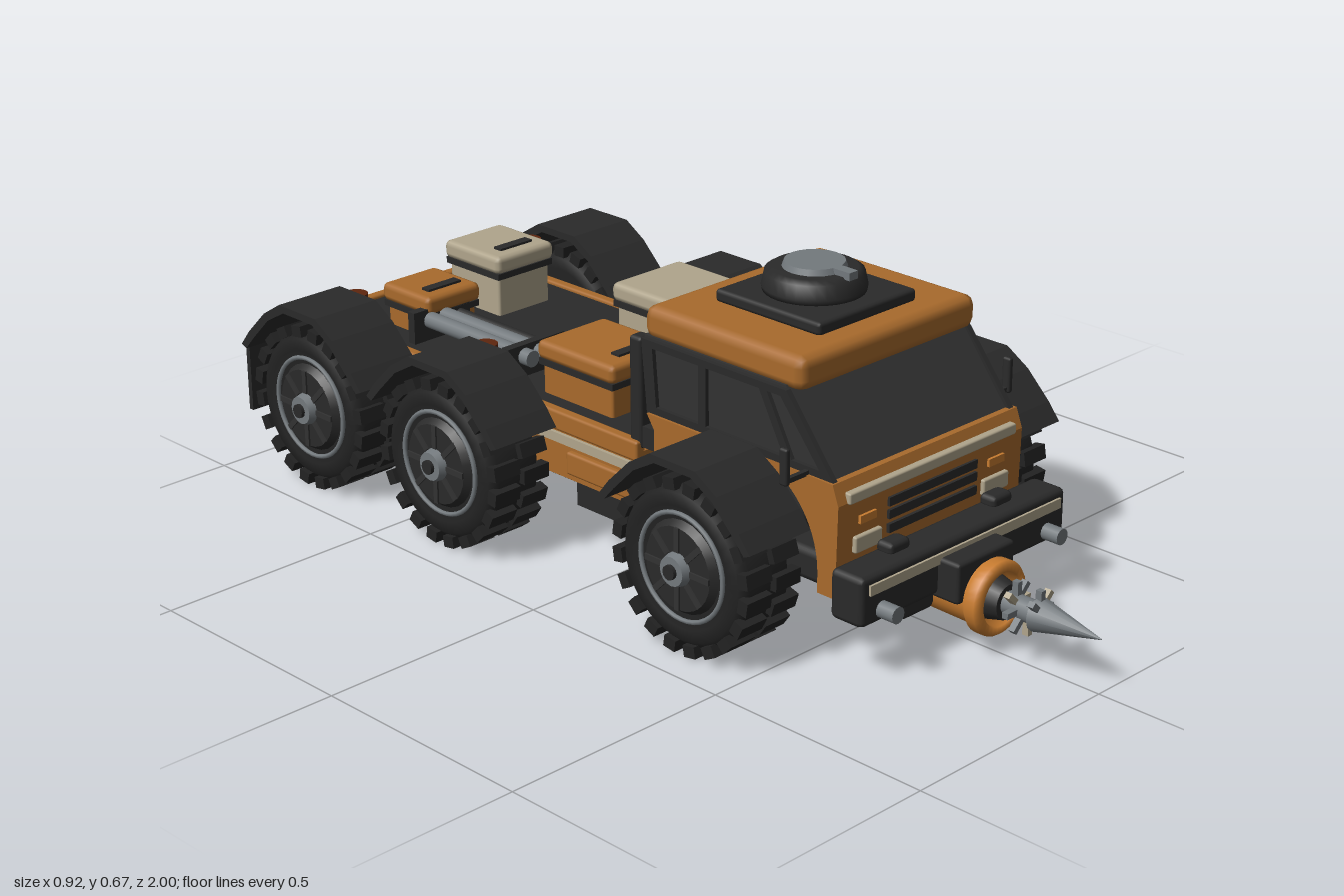
import * as THREE from 'three';
import { RoundedBoxGeometry } from 'three/addons/geometries/RoundedBoxGeometry.js';

const mat = (name, color) => {
  const m = new THREE.MeshStandardMaterial({ color });
  m.name = name;
  return m;
};

export function createModel() {
  const M = {
    orange: mat('ochre paint', 0xa86a2c),
    bright: mat('bright orange', 0xc87c30),
    black: mat('black trim', 0x2a2a2a),
    tyre: mat('tyre rubber', 0x222222),
    glass: mat('dark glass', 0x323232),
    cream: mat('cream', 0xb0a58c),
    steel: mat('steel', 0x73797d),
    brown: mat('rust brown', 0x5e260e),
    red: mat('tail light red', 0xb02a1e),
  };
  const model = new THREE.Group();
  model.name = 'expeditionTruck';

  const add = (name, geo, m, x = 0, y = 0, z = 0, parent = model) => {
    const mesh = new THREE.Mesh(geo, m);
    mesh.name = name;
    mesh.position.set(x, y, z);
    parent.add(mesh);
    return mesh;
  };
  // Box given by its limits, with optional softened edges
  const box = (name, m, [x0, x1], [y0, y1], [z0, z1], r = 0, parent = model) => {
    const s = [x1 - x0, y1 - y0, z1 - z0];
    const geo = r ? new RoundedBoxGeometry(...s, 1, r) : new THREE.BoxGeometry(...s);
    return add(name, geo, m, (x0 + x1) / 2, (y0 + y1) / 2, (z0 + z1) / 2, parent);
  };
  // The same box on both sides
  const pair = (name, m, xs, ys, zs, r) => {
    box(name + 'Left', m, xs, ys, zs, r);
    box(name + 'Right', m, [-xs[1], -xs[0]], ys, zs, r);
  };
  // Cylinder along z
  const rod = (r0, r1, len, seg = 16) => new THREE.CylinderGeometry(r1, r0, len, seg).rotateX(Math.PI / 2);
  // Side outline in (z, y), extruded across the width
  const across = (shape, w) => new THREE.ExtrudeGeometry(shape, { depth: w, bevelEnabled: false, curveSegments: 20 })
    .rotateY(-Math.PI / 2).translate(w / 2, 0, 0);
  const outline = (pts) => new THREE.Shape(pts.map(([z, y]) => new THREE.Vector2(z, y)));

  // Chassis
  box('chassis', M.black, [-0.17, 0.17], [0.09, 0.16], [-0.93, 0.59], 0.015);
  pair('sill', M.black, [0.17, 0.25], [0.1, 0.15], [-0.14, 0.14]);

  // Cab body with open wheel arches
  const body = new THREE.Shape();
  body.moveTo(0.1, 0.14);
  body.lineTo(0.145, 0.14);
  body.lineTo(0.145, 0.18);
  body.absarc(0.34, 0.18, 0.195, Math.PI, 0, true);
  body.lineTo(0.535, 0.14);
  body.lineTo(0.58, 0.14);
  body.lineTo(0.585, 0.33);
  body.lineTo(0.57, 0.37);
  body.lineTo(0.08, 0.37);
  body.lineTo(0.1, 0.34);
  add('cabBody', across(body, 0.53), M.orange);
  add('cabWindows', across(outline([[0.08, 0.365], [0.56, 0.365], [0.435, 0.525], [0.06, 0.525]]), 0.5), M.glass);
  // Window frame on each side
  const frame = outline([[0.075, 0.365], [0.57, 0.365], [0.445, 0.52], [0.06, 0.52]]);
  for (const pane of [
    [[0.1, 0.385], [0.09, 0.505], [0.215, 0.505], [0.215, 0.385]],
    [[0.235, 0.385], [0.235, 0.505], [0.375, 0.505], [0.44, 0.385]],
    [[0.46, 0.385], [0.395, 0.505], [0.43, 0.505], [0.53, 0.385]],
  ]) frame.holes.push(outline(pane));
  for (const s of [-1, 1]) add('windowFrame', across(frame, 0.012), M.black, s * 0.253);
  box('rearWindowPost', M.black, [-0.01, 0.01], [0.37, 0.52], [0.055, 0.08]);

  // Roof and its turret
  box('roof', M.orange, [-0.25, 0.25], [0.515, 0.585], [0.055, 0.475], 0.022);
  box('turretPlate', M.black, [-0.138, 0.138], [0.583, 0.61], [0.14, 0.415], 0.008);
  const lathe = (pts) => new THREE.LatheGeometry(pts.map(([r, y]) => new THREE.Vector2(r, y)), 32);
  add('turretDrum', lathe([[0, 0], [0.102, 0], [0.104, 0.01], [0.098, 0.038], [0.085, 0.046], [0, 0.046]]), M.black, 0, 0.61, 0.274);
  add('turretCap', new THREE.CylinderGeometry(0.06, 0.065, 0.014, 24), M.steel, 0, 0.661, 0.274);
  box('turretLatch', M.steel, [-0.012, 0.012], [0.652, 0.668], [0.32, 0.375]);

  // Front face details
  box('hoodStrip', M.cream, [-0.24, 0.24], [0.327, 0.35], [0.57, 0.592], 0.004);
  for (const y of [0.298, 0.272, 0.243]) box('grilleSlat', M.black, [-0.127, 0.127], [y - 0.009, y + 0.009], [0.57, 0.59]);
  pair('indicator', M.bright, [0.163, 0.208], [0.279, 0.295], [0.57, 0.59]);
  pair('headlight', M.cream, [0.147, 0.222], [0.222, 0.256], [0.57, 0.592], 0.004);

  // Mirrors and the stacks behind the cab
  pair('mirror', M.black, [0.313, 0.326], [0.365, 0.44], [0.49, 0.51], 0.005);
  pair('mirrorArm', M.black, [0.25, 0.32], [0.368, 0.378], [0.495, 0.505]);
  pair('stack', M.black, [0.22, 0.255], [0.28, 0.515], [0.02, 0.053], 0.008);
  box('cabBackRail', M.black, [-0.25, 0.25], [0.285, 0.33], [0.035, 0.1]);

  // Front bumper
  box('frontBumper', M.black, [-0.297, 0.297], [0.12, 0.222], [0.595, 0.675], 0.012);
  box('bumperStrip', M.cream, [-0.277, 0.277], [0.185, 0.206], [0.66, 0.68]);
  pair('bumperFoot', M.black, [0.07, 0.167], [0.085, 0.13], [0.56, 0.66], 0.012);
  pair('bumperHook', M.black, [0.12, 0.178], [0.215, 0.242], [0.6, 0.64], 0.01);
  for (const s of [-1, 1]) add('bumperPeg', rod(0.017, 0.017, 0.05), M.steel, s * 0.24, 0.146, 0.69);

  // Drill
  const drill = new THREE.Group();
  drill.name = 'drill';
  drill.position.set(0, 0.112, 0);
  model.add(drill);
  box('drillMount', M.black, [-0.083, 0.083], [0.0, 0.085], [0.6, 0.725], 0.008, drill);
  add('drillHousing', lathe([[0, 0.6], [0.062, 0.6], [0.064, 0.72], [0.076, 0.735], [0.076, 0.757], [0.07, 0.765],
    [0.055, 0.765], [0.052, 0.74], [0, 0.74]]).rotateX(Math.PI / 2), M.bright, 0, 0, 0, drill);
  add('drillSocket', rod(0.048, 0.036, 0.05), M.black, 0, 0, 0.755, drill);
  add('drillShaft', rod(0.024, 0.024, 0.1), M.steel, 0, 0, 0.815, drill);
  add('drillTip', rod(0.035, 0.001, 0.15, 12), M.steel, 0, 0, 0.925, drill);
  for (let i = 0; i < 12; i++) {
    const a = i * Math.PI / 4, r = 0.036;
    const tooth = add('drillTooth', new THREE.BoxGeometry(0.03, 0.012, 0.014), i % 3 ? M.steel : M.cream,
      r * Math.cos(a), r * Math.sin(a), 0.785 + i * 0.007, drill);
    tooth.rotation.z = a;
  }

  // Cargo bed
  box('bedBody', M.orange, [-0.25, 0.25], [0.15, 0.275], [-0.97, 0.05]);
  box('bedFloor', M.black, [-0.24, 0.24], [0.27, 0.29], [-0.955, 0.04]);
  pair('bedRail', M.orange, [0.24, 0.265], [0.255, 0.298], [-0.975, 0.05], 0.006);
  pair('bedSideStep', M.orange, [0.24, 0.262], [0.165, 0.215], [-0.16, 0.05], 0.006);
  box('bedRearRail', M.orange, [-0.265, 0.265], [0.21, 0.298], [-0.98, -0.955], 0.006);
  pair('bedStrip', M.cream, [0.24, 0.258], [0.226, 0.246], [-0.62, 0.035]);

  // Rear bumper, lights and exhausts
  box('rearBumper', M.black, [-0.27, 0.27], [0.13, 0.212], [-0.988, -0.95], 0.006);
  pair('tailLight', M.red, [0.135, 0.235], [0.168, 0.196], [-0.996, -0.98]);
  for (const s of [-1, 1]) {
    add('exhaust', rod(0.022, 0.022, 0.16), M.steel, s * 0.135, 0.112, -0.91);
    add('exhaustTip', rod(0.019, 0.019, 0.01), M.bright, s * 0.135, 0.112, -0.994);
    for (const z of [-0.41, -0.83]) add('bedPost', new THREE.CylinderGeometry(0.026, 0.026, 0.085, 12), M.brown, s * 0.25, 0.335, z);
    add('cabPost', new THREE.CylinderGeometry(0.02, 0.02, 0.08, 12), M.brown, s * 0.265, 0.33, 0.34);
  }

  // Crates with banded lids and dark handles
  const crate = (m, [x0, x1], [z0, z1], top) => {
    const g = new THREE.Group();
    g.name = 'crate';
    model.add(g);
    const seam = top - 0.045, cx = (x0 + x1) / 2, i = 0.01;
    box('crateBody', m, [x0 + i, x1 - i], [0.285, seam], [z0 + i, z1 - i], 0.006, g);
    box('crateSeam', M.black, [x0 + 0.004, x1 - 0.004], [seam - 0.008, seam + 0.006], [z0 + 0.004, z1 - 0.004], 0, g);
    box('crateLid', m, [x0, x1], [seam + 0.004, top], [z0, z1], 0.013, g);
    box('crateHandle', M.black, [cx - 0.045, cx + 0.045], [top - 0.004, top + 0.005], [z1 - 0.055, z1 - 0.032], 0, g);
  };
  crate(M.cream, [0.005, 0.205], [-0.305, -0.025], 0.472);
  crate(M.orange, [-0.21, -0.02], [-0.3, -0.075], 0.405);
  crate(M.cream, [0.015, 0.18], [-0.85, -0.67], 0.428);
  crate(M.orange, [-0.18, -0.03], [-0.83, -0.675], 0.385);

  // Pipes strapped to the bed
  for (const x of [-0.17, -0.13]) add('pipe', rod(0.018, 0.018, 0.33), M.steel, x, 0.335, -0.52);
  add('thinPipe', rod(0.01, 0.01, 0.33), M.black, -0.088, 0.33, -0.52);
  for (const z of [-0.39, -0.69]) box('pipeStrap', M.black, [-0.215, -0.06], [0.285, 0.36], [z - 0.01, z + 0.01]);

  // Wheel, built facing +x
  const toX = (g) => g.rotateZ(-Math.PI / 2);
  const tyreGeo = toX(lathe([[0, -0.068], [0.125, -0.068], [0.15, -0.066], [0.166, -0.05], [0.166, 0.05], [0.15, 0.066],
    [0.125, 0.068], [0.115, 0.06], [0, 0.06]]));
  const treadGeo = new THREE.BoxGeometry(0.066, 0.024, 0.03);
  const wheel = (side, z) => {
    const g = new THREE.Group();
    g.name = 'wheel';
    g.position.set(side * 0.362, 0.18, z);
    if (side < 0) g.rotation.y = Math.PI;
    model.add(g);
    add('tyre', tyreGeo, M.tyre, 0, 0, 0, g);
    for (let i = 0; i < 40; i++) {
      const a = i * Math.PI / 20;
      const t = add('tread', treadGeo, M.tyre, i % 2 ? 0.038 : -0.038, 0.168 * Math.cos(a), 0.168 * Math.sin(a), g);
      t.rotation.x = a;
    }
    add('rimRing', new THREE.TorusGeometry(0.109, 0.005, 6, 40).rotateY(Math.PI / 2), M.steel, 0.064, 0, 0, g);
    add('rim', toX(new THREE.CylinderGeometry(0.085, 0.1, 0.02, 24)), M.black, 0.064, 0, 0, g);
    for (let i = 0; i < 8; i++) {
      const a = i * Math.PI / 4;
      const s = add('spoke', new THREE.BoxGeometry(0.008, 0.05, 0.012), M.glass, 0.074, 0.06 * Math.cos(a), 0.06 * Math.sin(a), g);
      s.rotation.x = a;
    }
    add('hub', toX(new THREE.CylinderGeometry(0.03, 0.036, 0.022, 16)), M.steel, 0.08, 0, 0, g);
    add('hubBolt', toX(new THREE.CylinderGeometry(0.015, 0.015, 0.01, 12)), M.black, 0.094, 0, 0, g);
    add('axle', toX(new THREE.CylinderGeometry(0.03, 0.03, 0.28, 12)), M.black, -0.2, 0, 0, g);
  };

  // Faceted fender arch
  const half = [[0.2, 0.275], [0.172, 0.31], [0.115, 0.366], [0.06, 0.4]];
  const inner = [[0.048, 0.384], [0.104, 0.352], [0.158, 0.298], [0.185, 0.268]];
  const flip = (pts) => pts.map(([z, y]) => [-z, y]).reverse();
  const fenderGeo = across(outline([...half, ...flip(half), ...flip(inner), ...inner]), 0.162);
  for (const side of [-1, 1]) {
    for (const z of [0.335, -0.36, -0.78]) {
      wheel(side, z + 0.002);
      add('fender', fenderGeo, M.black, side * 0.366, 0, z);
    }
  }
  pair('mudFlap', M.black, [0.295, 0.435], [0.12, 0.275], [-0.982, -0.97]);

  return model;
}
